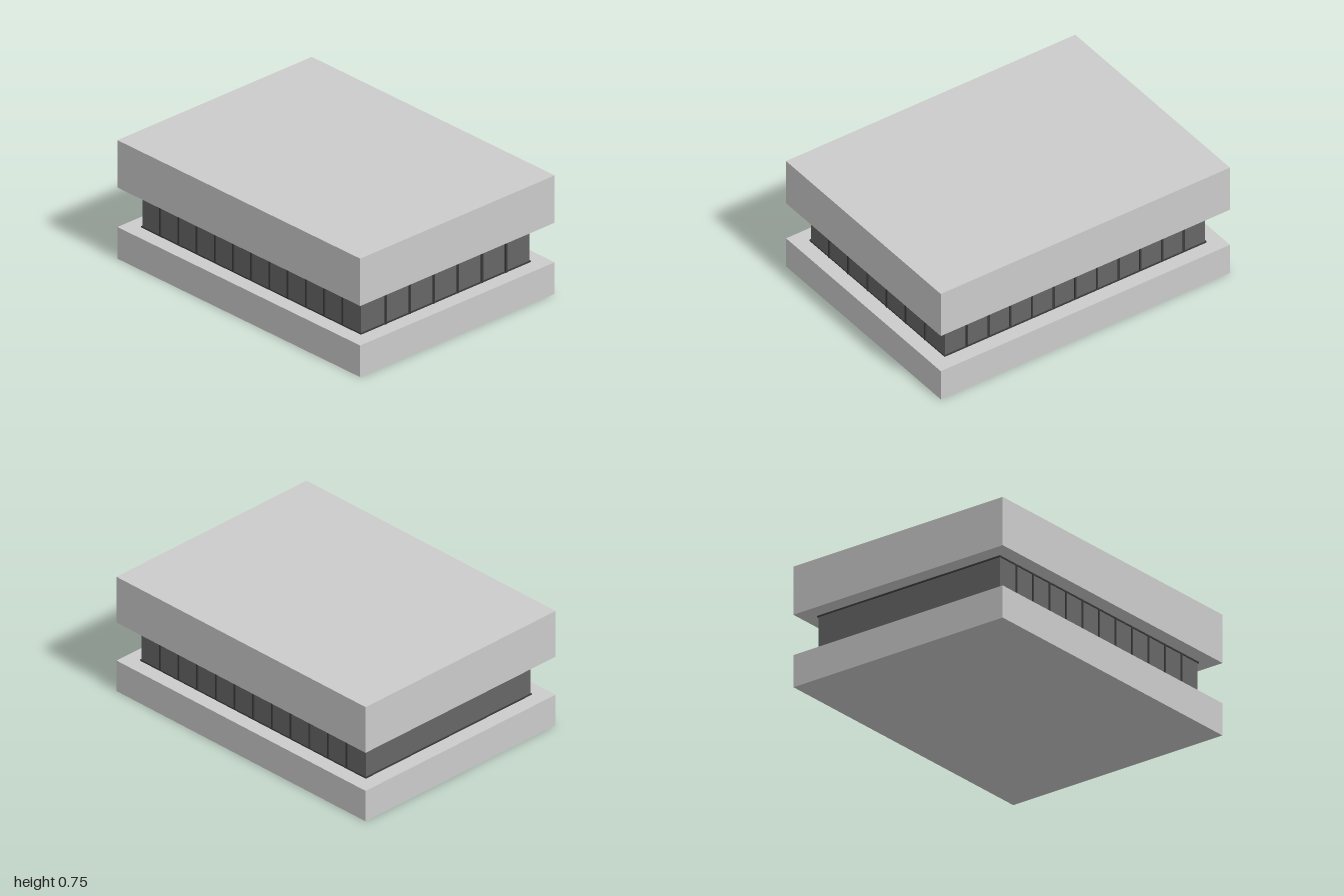
import * as THREE from 'three';

export function createModel() {
  const group = new THREE.Group();
  const concrete = new THREE.MeshStandardMaterial({ color: 0xcccccc });
  const glass = new THREE.MeshStandardMaterial({ color: 0x666666 });
  const frame = new THREE.MeshStandardMaterial({ color: 0x3c3c3c });

  // Box given by its size, centre x and z, and bottom y
  function addBox(name, material, w, h, d, x, y, z) {
    const mesh = new THREE.Mesh(new THREE.BoxGeometry(w, h, d), material);
    mesh.position.set(x, y + h / 2, z);
    mesh.name = name;
    group.add(mesh);
  }

  const W = 1.3, D = 1.8, BASE = 0.2, H = 0.25;
  const BAR = 0.012, RAIL = 0.008, OUT = 0.006;

  // Overhanging solid storeys
  addBox('lowerStorey', concrete, 1.5, BASE, 2, 0, 0, 0);
  addBox('upperStorey', concrete, 1.5, 0.3, 2, 0, BASE + H, 0);

  // Recessed glazed storey
  addBox('glazedStorey', glass, W, H, D, 0, BASE, 0);

  // Rails along the top and bottom of the glazing
  for (const y of [BASE, BASE + H - RAIL]) {
    addBox('rail', frame, W + 2 * OUT, RAIL, D + 2 * OUT, 0, y, 0);
  }

  // Front mullions; the back wall is plain
  for (let i = 1; i < 7; i++) {
    addBox('frontMullion', frame, BAR, H, 0.018, -W / 2 + (i * W) / 7, BASE, D / 2);
  }

  // Mullions on both long sides
  for (const side of [-1, 1]) {
    for (let i = 1; i < 12; i++) {
      addBox('sideMullion', frame, 0.012, H, BAR, (side * W) / 2, BASE, -D / 2 + (i * D) / 12);
    }
  }

  return group;
}
